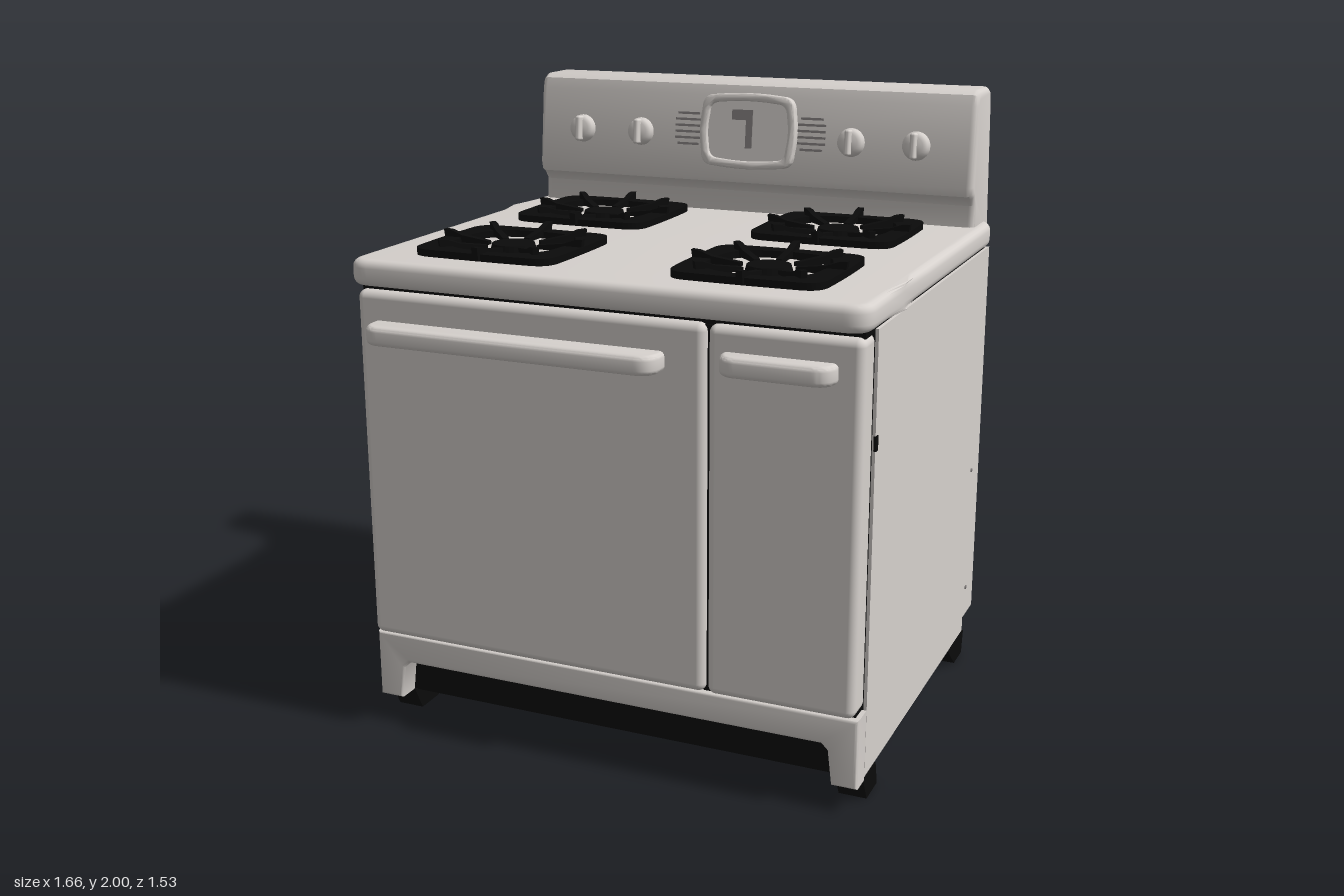
import * as THREE from 'three';
import { toCreasedNormals } from 'three/addons/utils/BufferGeometryUtils.js';
import { RoundedBoxGeometry } from 'three/addons/geometries/RoundedBoxGeometry.js';

const enamel = new THREE.MeshStandardMaterial({ color: 0xd6d1cd });
enamel.name = 'warm white enamel';
const iron = new THREE.MeshStandardMaterial({ color: 0x0b0b0b });
iron.name = 'black iron';
const grey = new THREE.MeshStandardMaterial({ color: 0x858180 });
grey.name = 'grey trim';

export function createModel() {
  const model = new THREE.Group();
  model.name = 'stove';

  const add = (name, geo, mat, parent = model) => {
    const m = new THREE.Mesh(geo, mat);
    m.name = name;
    parent.add(m);
    return m;
  };
  // Box given by its limits on each axis, optionally rounded
  const box = (name, [x0, x1], [y0, y1], [z0, z1], mat, r = 0, parent = model) => {
    const s = [x1 - x0, y1 - y0, z1 - z0];
    const geo = r ? new RoundedBoxGeometry(...s, 4, r) : new THREE.BoxGeometry(...s);
    const m = add(name, geo, mat, parent);
    m.position.set((x0 + x1) / 2, (y0 + y1) / 2, (z0 + z1) / 2);
    return m;
  };
  const polygon = (pts) => new THREE.Shape(pts.map(([x, y]) => new THREE.Vector2(x, y)));
  const extrude = (shape, depth, bevel = 0) => {
    const g = new THREE.ExtrudeGeometry(shape, {
      depth: depth - 2 * bevel, curveSegments: 10, bevelEnabled: bevel > 0,
      bevelSize: bevel, bevelThickness: bevel, bevelOffset: -bevel, bevelSegments: 4,
    });
    g.translate(0, 0, -depth / 2 + bevel);
    return toCreasedNormals(g, 0.7);
  };
  // Side profile (z, y) swept across the width
  const sweepX = (pts, width, bevel) => extrude(polygon(pts), width, bevel).rotateY(-Math.PI / 2);
  // Rounded rectangle centred on the origin, with sides bowed outward
  const softRect = (C, w, h, r, bow = 0) => {
    const s = new C();
    s.moveTo(-w + r, -h);
    s.quadraticCurveTo(0, -h - bow, w - r, -h);
    s.quadraticCurveTo(w, -h, w, -h + r);
    s.quadraticCurveTo(w + bow, 0, w, h - r);
    s.quadraticCurveTo(w, h, w - r, h);
    s.quadraticCurveTo(0, h + bow, -w + r, h);
    s.quadraticCurveTo(-w, h, -w, h - r);
    s.quadraticCurveTo(-w - bow, 0, -w, -h + r);
    s.quadraticCurveTo(-w, -h, -w + r, -h);
    return s;
  };

  // Cabinet with a raised rear lower edge, and its dark underside
  add('cabinet', sweepX([
    [0.56, 0.08], [0.56, 1.455], [-0.73, 1.455], [-0.73, 0.13], [-0.6, 0.13], [-0.6, 0.08],
  ], 1.63), enamel);
  box('underside', [-0.81, 0.81], [0.074, 0.082], [-0.595, 0.565], iron);
  box('frontGap', [-0.805, 0.805], [0.08, 1.45], [0.555, 0.572], iron);
  box('topGap', [-0.805, 0.805], [1.445, 1.47], [-0.7, 0.65], iron);
  box('doorGap', [0.335, 0.36], [0.315, 1.445], [0.565, 0.655], iron);
  box('lowerGap', [-0.805, 0.805], [0.295, 0.325], [0.565, 0.635], iron);

  // Doors and handles
  box('ovenDoor', [-0.812, 0.343], [0.314, 1.45], [0.57, 0.68], enamel, 0.025);
  box('sideDoor', [0.351, 0.812], [0.314, 1.45], [0.57, 0.68], enamel, 0.025);
  const handle = (name, x0, x1, y, front) => {
    const w = (x1 - x0) / 2;
    const s = new THREE.Shape();
    s.moveTo(-w, 0.665);
    s.lineTo(w, 0.665);
    s.lineTo(w, front - 0.05);
    s.quadraticCurveTo(w - 0.01, front, w - 0.06, front);
    s.lineTo(-w + 0.06, front);
    s.quadraticCurveTo(-w + 0.01, front, -w, front - 0.05);
    const m = add(name, extrude(s, 0.06, 0.016).rotateX(Math.PI / 2), enamel);
    m.position.set((x0 + x1) / 2, y, 0);
  };
  handle('ovenHandle', -0.75, 0.22, 1.33, 0.768);
  handle('sideHandle', 0.395, 0.74, 1.348, 0.745);

  // Skirt with the wide kick opening
  const skirt = polygon([
    [-0.82, 0.08], [-0.738, 0.08], [-0.725, 0.19], [-0.705, 0.21], [0.705, 0.21],
    [0.725, 0.19], [0.738, 0.08], [0.82, 0.08], [0.82, 0.306], [-0.82, 0.306],
  ]);
  add('skirt', extrude(skirt, 0.085, 0.012), enamel).position.z = 0.611;

  // Feet
  const footProfiles = {
    frontFoot: [[0.585, 0.08], [0.545, 0], [0.44, 0], [0.46, 0.08]],
    rearFoot: [[-0.4, 0.08], [-0.49, 0], [-0.59, 0], [-0.605, 0.08]],
  };
  for (const [name, pts] of Object.entries(footProfiles))
    for (const s of [-1, 1]) add(name, sweepX(pts.slice().reverse(), 0.088), iron).position.x = s * 0.775;

  // Cooktop slab with rounded corners
  const slab = extrude(softRect(THREE.Shape, 0.83, 0.715, 0.075), 0.082, 0.025).rotateX(-Math.PI / 2);
  add('cooktop', slab, enamel).position.set(0, 1.507, -0.01);

  // Burners: pierced grate, raised fingers and central cap
  const grateShape = softRect(THREE.Shape, 0.238, 0.222, 0.07, 0.006);
  grateShape.holes.push(softRect(THREE.Path, 0.178, 0.175, 0.15, 0.008));
  const grate = extrude(grateShape, 0.022).rotateX(-Math.PI / 2);
  const finger = (len) => extrude(polygon([
    [0.085, 0.012], [len, 0.012], [len + 0.006, 0.052], [len - 0.02, 0.05], [len - 0.06, 0.036], [0.085, 0.024],
  ]), 0.02);
  const straight = finger(0.237), diagonal = finger(0.232);
  for (const x of [-0.425, 0.422]) for (const z of [-0.265, 0.38]) {
    const burner = new THREE.Group();
    burner.name = 'burner';
    burner.position.set(x, 1.547, z);
    model.add(burner);
    add('grate', grate, iron, burner).position.y = 0.018;
    add('burnerCap', new THREE.CylinderGeometry(0.066, 0.073, 0.026, 28), iron, burner).position.y = 0.012;
    for (let i = 0; i < 8; i++)
      add('grateFinger', i % 2 ? diagonal : straight, iron, burner).rotation.y = i * Math.PI / 4;
  }

  // Backguard with an overhanging control face
  add('backguard', sweepX([
    [-0.765, 1.47], [-0.55, 1.5], [-0.553, 1.62], [-0.535, 1.643], [-0.515, 1.655], [-0.508, 1.685],
    [-0.535, 1.95], [-0.547, 1.985], [-0.575, 2], [-0.695, 2], [-0.718, 1.988], [-0.727, 1.96],
  ].reverse(), 1.6, 0.022), enamel);

  // Controls sit on a group tilted with the control face
  const panel = new THREE.Group();
  panel.name = 'controls';
  panel.position.set(0, 1.82, -0.521);
  panel.rotation.x = -0.1;
  model.add(panel);

  // Clock: frame, face and hands
  const frame = softRect(THREE.Shape, 0.168, 0.122, 0.05, 0.014);
  frame.holes.push(softRect(THREE.Path, 0.142, 0.096, 0.04, 0.012));
  add('clockFrame', extrude(frame, 0.046, 0.008), enamel, panel).position.set(0.01, 0.013, 0.008);
  add('clockFace', extrude(softRect(THREE.Shape, 0.15, 0.104, 0.04, 0.012), 0.03), enamel, panel)
    .position.set(0.01, 0.013, 0);
  box('clockHand', [0.002, 0.026], [-0.045, 0.055], [0.014, 0.019], grey, 0, panel);
  box('clockHand', [-0.05, 0.026], [0.05, 0.085], [0.014, 0.019], grey, 0, panel);

  // Grilles beside the clock
  for (const s of [-1, 1]) for (let i = 0; i < 6; i++) {
    const y = -0.044 + i * 0.021, cx = 0.01 + s * 0.226, w = i === 0 || i === 5 ? 0.04 : 0.05;
    box('grilleBar', [cx - w, cx + w], [y, y + 0.008], [-0.004, 0.005], grey, 0, panel);
  }

  // Knobs: shaft, dial and grip
  const dial = new THREE.LatheGeometry([
    [0, 0.068], [0.03, 0.066], [0.043, 0.056], [0.048, 0.038], [0.044, 0.03], [0.026, 0.026], [0.026, -0.01],
  ].reverse().map(([r, y]) => new THREE.Vector2(r, y)), 28).rotateX(Math.PI / 2);
  for (const x of [-0.608, -0.382, 0.388, 0.612]) {
    add('knob', dial, enamel, panel).position.set(x, -0.005, 0);
    box('knobGrip', [x - 0.01, x + 0.01], [-0.048, 0.038], [0.045, 0.09], enamel, 0.008, panel);
  }

  // Small fittings on the cabinet sides
  for (const s of [-1, 1]) {
    for (const y of [0.24, 0.68]) {
      const screw = add('sideScrew', new THREE.CylinderGeometry(0.007, 0.007, 0.006, 10), grey);
      screw.rotation.z = Math.PI / 2;
      screw.position.set(s * 0.816, y, -0.62);
    }
  }
  box('sideCatch', [0.81, 0.819], [1.1, 1.145], [0.545, 0.562], iron);
  return model;
}
